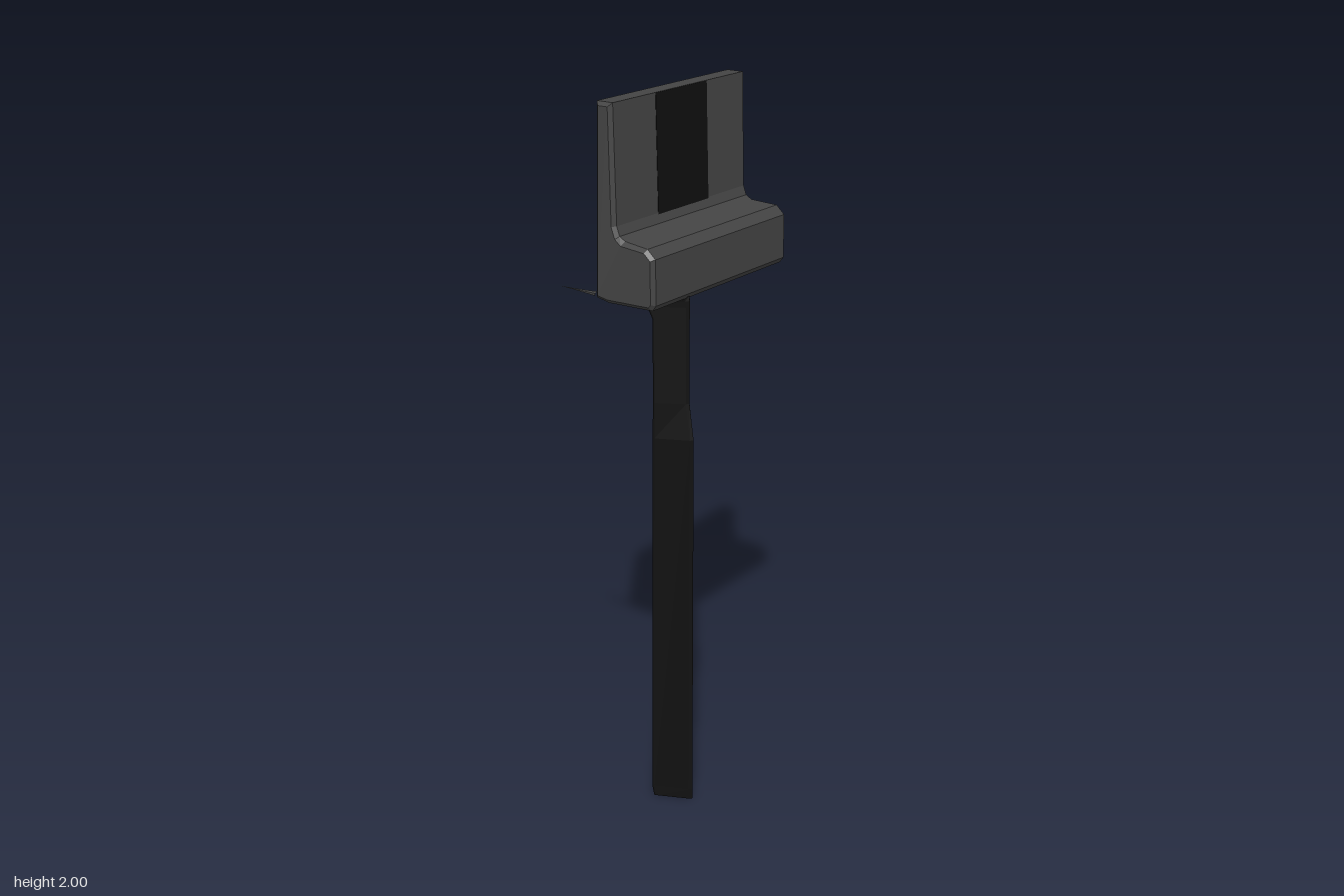
import * as THREE from 'three';

const darkGrey = new THREE.MeshStandardMaterial({ color: 0x444444, flatShading: true });
const black = new THREE.MeshStandardMaterial({ color: 0x101010, flatShading: true });

function part(name, geometry, material) {
  const mesh = new THREE.Mesh(geometry, material);
  mesh.name = name;
  return mesh;
}

// Shelf and upright back panel share one side profile, drawn as (z, y)
function headGeometry() {
  const profile = [
    [-0.04, 1.495], [0.0, 1.487], [0.14, 1.49], [0.151, 1.505], [0.15, 1.625],
    [0.125, 1.648], [0.05, 1.655], [0.032, 1.665], [0.023, 1.69], [0.015, 2], [-0.035, 2],
  ];
  const shape = new THREE.Shape(profile.map(([z, y]) => new THREE.Vector2(z, y)));
  const bevel = 0.01;
  const width = 0.597;
  const geometry = new THREE.ExtrudeGeometry(shape, {
    depth: width - 2 * bevel, bevelEnabled: true, bevelSegments: 1,
    bevelSize: bevel, bevelThickness: bevel, bevelOffset: -bevel,
  });
  geometry.translate(0, 0, bevel - width / 2).rotateY(-Math.PI / 2);

  // The panel is slightly narrower than the shelf
  const p = geometry.attributes.position;
  for (let i = 0; i < p.count; i++) {
    if (p.getY(i) > 1.652) p.setX(i, p.getX(i) * 0.97 - 0.003);
  }
  geometry.computeVertexNormals();
  return geometry;
}

// Post with a flat back and a blunt front ridge, flaring under the shelf
function postGeometry() {
  // Cross-section: half-widths across, and depth from back (0) to front (1)
  const outline = [[-1, 0], [1, 0], [1, 0.06], [0.15, 0.93], [0, 1], [-0.15, 0.93], [-1, 0.06]];
  // Rows: y, back z, front z, half-width
  const rows = [
    [0, 0.061, 0.161, 0.049], [0.03, 0.055, 0.161, 0.05], [1.1, 0.062, 0.161, 0.05],
    [1.2, 0.064, 0.147, 0.05], [1.43, 0.064, 0.147, 0.05], [1.465, 0.052, 0.147, 0.057],
    [1.482, 0.033, 0.147, 0.07], [1.495, 0.025, 0.145, 0.09],
  ];
  const n = outline.length;
  const positions = [];
  const indices = [];
  for (const [y, back, front, half] of rows) {
    for (const [u, v] of outline) positions.push(-0.14 + u * half, y, back + v * (front - back));
  }
  for (let j = 0; j < rows.length - 1; j++) {
    for (let i = 0; i < n; i++) {
      const a = j * n + i;
      const b = j * n + (i + 1) % n;
      indices.push(a, a + n, b, a + n, b + n, b);
    }
  }
  // Foot cap
  for (let i = 1; i < n - 1; i++) indices.push(0, i, i + 1);

  const geometry = new THREE.BufferGeometry();
  geometry.setAttribute('position', new THREE.Float32BufferAttribute(positions, 3));
  geometry.setIndex(indices);
  geometry.computeVertexNormals();
  return geometry;
}

// Thin flattened thorn pointing backwards from a wider root
function spikeGeometry(root, width) {
  const rows = [[root, 0], [width, 0.014], [width * 0.35, 0.075], [0, 0.126]];
  const profile = rows.map(([r, y]) => new THREE.Vector2(r, y));
  return new THREE.LatheGeometry(profile, 6).rotateX(-Math.PI / 2).scale(1, 0.6, 1);
}

export function createModel() {
  const model = new THREE.Group();
  model.name = 'postWithShelf';

  model.add(part('shelfAndBackPanel', headGeometry(), darkGrey));
  model.add(part('post', postGeometry(), black));

  // Dark strip down the middle of the panel front
  const strip = part('panelStrip', new THREE.BoxGeometry(0.22, 0.32, 0.004), black);
  strip.position.set(0, 1.839, 0.0183);
  strip.rotation.x = -0.026;
  model.add(strip);

  // Row of spikes along the lower back edge: x, root radius, radius
  const spikes = new THREE.Group();
  spikes.name = 'backSpikes';
  const layout = [[-0.289, 0.011, 0.009], [-0.092, 0.022, 0.012], [0.085, 0.02, 0.008], [0.283, 0.014, 0.01]];
  layout.forEach(([x, root, width], i) => {
    const spike = part('spike' + (i + 1), spikeGeometry(root, width), i % 3 ? black : darkGrey);
    spike.position.set(x, 1.504, -0.038);
    spikes.add(spike);
  });
  model.add(spikes);

  return model;
}
